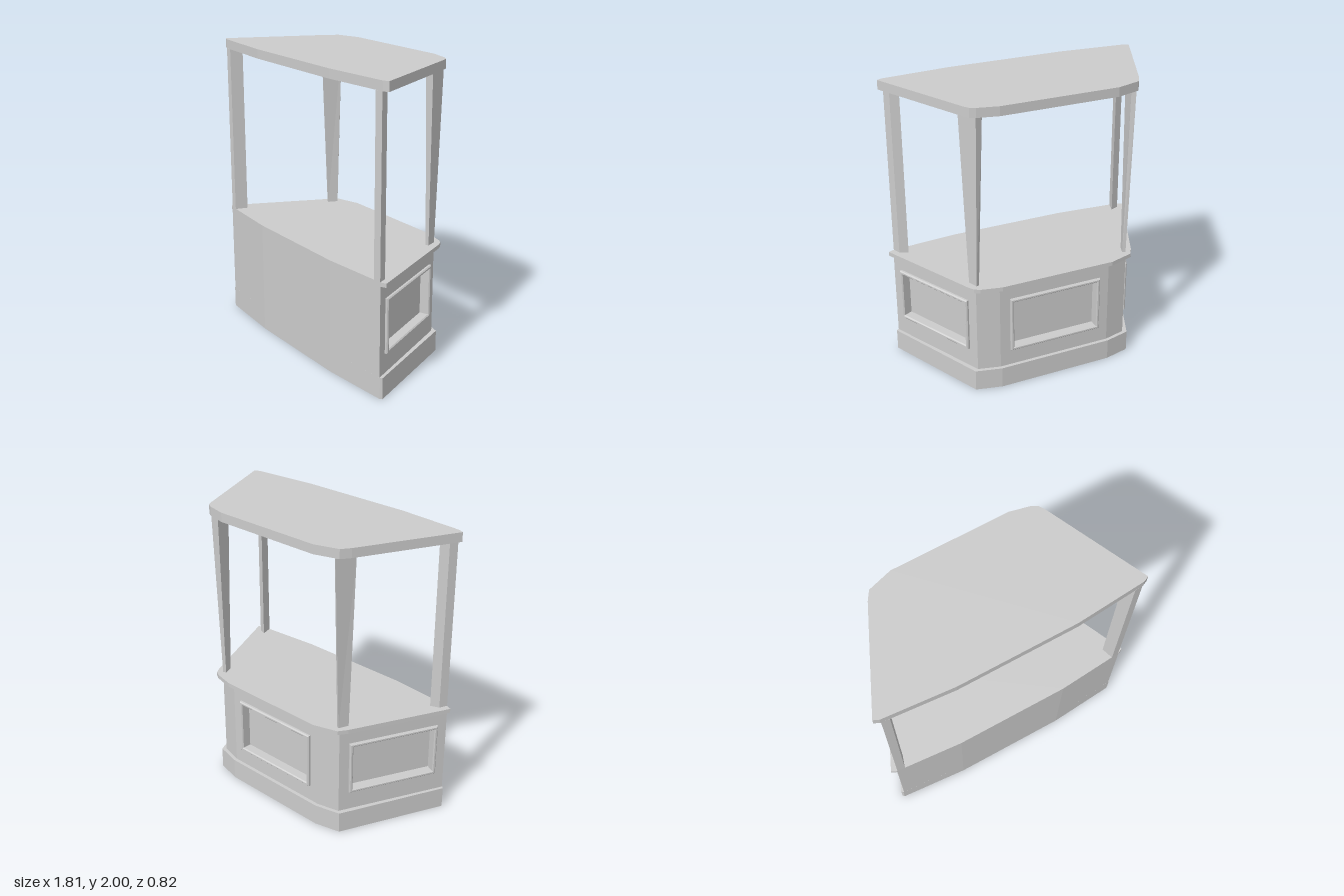
import * as THREE from 'three';

const grey = new THREE.MeshStandardMaterial({ color: 0xcccccc, flatShading: true });

// Full plan outline from its +x half, listed front to back as [x, z]
const mirrorX = pts => pts.map(([x, z]) => [-x, z]).reverse();
const symmetric = half => [...half, ...mirrorX(half)];

// Solid between two matching convex plan outlines at heights y0 and y1
function loft(name, bottom, y0, top, y1) {
  const p = [];
  const n = bottom.length;
  const lo = i => [bottom[i % n][0], y0, bottom[i % n][1]];
  const hi = i => [top[i % n][0], y1, top[i % n][1]];
  for (let i = 0; i < n; i++) {
    p.push(...lo(i), ...lo(i + 1), ...hi(i + 1), ...lo(i), ...hi(i + 1), ...hi(i));
    if (i > 0 && i < n - 1) {
      p.push(...hi(0), ...hi(i), ...hi(i + 1), ...lo(0), ...lo(i + 1), ...lo(i));
    }
  }
  const geo = new THREE.BufferGeometry();
  geo.setAttribute('position', new THREE.Float32BufferAttribute(p, 3));
  geo.computeVertexNormals();
  const mesh = new THREE.Mesh(geo, grey);
  mesh.name = name;
  return mesh;
}

// Rectangle centred on x = 0, between heights y0 and y1
function rect(w, y0, y1, Type = THREE.Shape) {
  return new Type([[-w / 2, y0], [w / 2, y0], [w / 2, y1], [-w / 2, y1]]
    .map(([x, y]) => new THREE.Vector2(x, y)));
}

// One flat wall from plan point a to b, with an optional framed recess
function wall(a, b, panel) {
  const dx = b[0] - a[0], dz = b[1] - a[1];
  const group = new THREE.Group();
  group.name = 'baseWall';
  group.position.set((a[0] + b[0]) / 2, 0, (a[1] + b[1]) / 2);
  group.rotation.y = Math.atan2(-dz, dx);
  const add = (name, geo, z) => {
    const mesh = new THREE.Mesh(geo, grey);
    mesh.name = name;
    mesh.position.z = z;
    group.add(mesh);
  };
  const face = rect(Math.hypot(dx, dz), 0.145, 0.755);
  if (panel) {
    const { w, y0, y1 } = panel, t = 0.024;
    const opening = Type => rect(w - 2 * t, y0 + t, y1 - t, Type);
    face.holes.push(opening(THREE.Path));
    // Frame also lines the recess behind the wall face
    const frame = rect(w, y0, y1);
    frame.holes.push(opening(THREE.Path));
    const bevel = 0.007;
    add('panelFrame', new THREE.ExtrudeGeometry(frame, {
      depth: 0.07 - bevel, bevelEnabled: true, bevelSegments: 1,
      bevelSize: bevel, bevelThickness: bevel, bevelOffset: -bevel,
    }), -0.05);
    add('recessedPanel', new THREE.ShapeGeometry(rect(w, y0, y1)), -0.048);
  }
  add('wallFace', new THREE.ShapeGeometry(face), 0);
  return group;
}

export function createModel() {
  const model = new THREE.Group();

  // Plinth
  const plinth = symmetric([[0.4, 0.41], [0.875, 0.372], [0.887, 0.36], [0.575, -0.345], [0.4, -0.387]]);
  model.add(loft('plinth', plinth, 0, plinth, 0.145));

  // Base walls, with framed recesses on both sides and the back
  const body = symmetric([[0.4, 0.41], [0.87, 0.372], [0.55, -0.325], [0.4, -0.362]]);
  const sidePanel = { w: 0.63, y0: 0.28, y1: 0.65 };
  const backPanel = { w: 0.66, y0: 0.26, y1: 0.65 };
  const panels = { 1: sidePanel, 3: backPanel, 5: sidePanel };
  body.forEach((p, i) => model.add(wall(p, body[(i + 1) % body.length], panels[i])));

  // Counter and roof share one outline
  const slab = [
    [0.4, 0.41], [0.87, 0.372], [0.907, 0.355], [0.6, -0.32], [0.575, -0.36], [0.54, -0.38], [0.4, -0.412],
    [-0.4, -0.412], [-0.565, -0.362], [-0.605, -0.3], [-0.907, 0.355], [-0.87, 0.372], [-0.4, 0.41],
  ];
  model.add(loft('counter', slab, 0.752, slab, 0.78));
  model.add(loft('roof', slab, 1.938, slab, 2));

  // Straight front posts
  const post = [[0.867, 0.372], [0.845, 0.318], [0.787, 0.295], [0.813, 0.378]];
  model.add(loft('frontPostLeft', post, 0.78, post, 1.938));
  model.add(loft('frontPostRight', mirrorX(post), 0.78, mirrorX(post), 1.938));

  // Back posts, widening upwards
  const foot = [[0.57, -0.262], [0.545, -0.33], [0.525, -0.32], [0.55, -0.255]];
  const headLeft = [[0.6, -0.235], [0.54, -0.375], [0.495, -0.36], [0.56, -0.21]];
  const headRight = [[0.585, -0.235], [0.545, -0.375], [0.52, -0.355], [0.56, -0.21]];
  model.add(loft('backPostLeft', foot, 0.78, headLeft, 1.938));
  model.add(loft('backPostRight', mirrorX(foot), 0.78, mirrorX(headRight), 1.938));

  return model;
}
